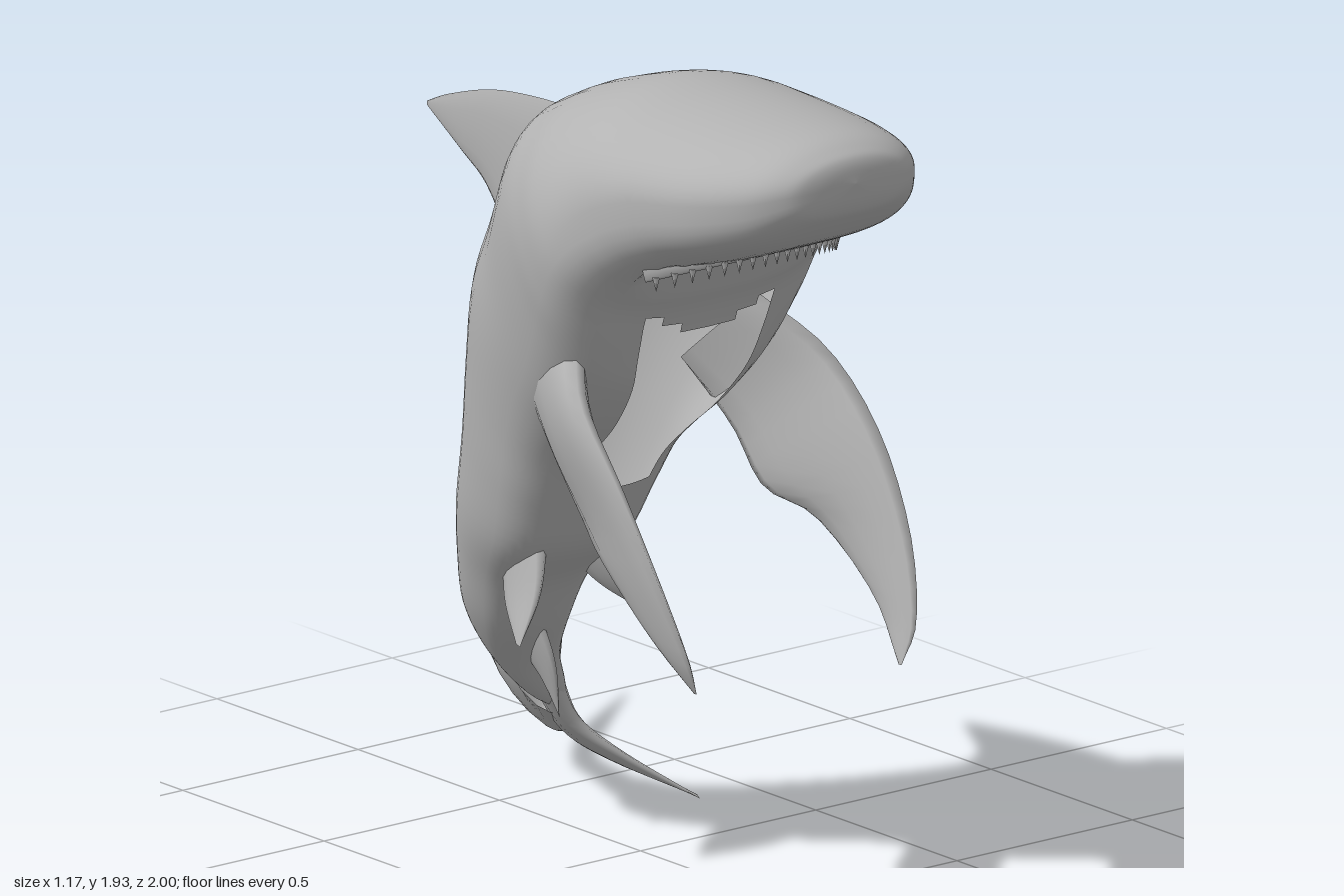
import * as THREE from 'three';

const MID = -0.19; // plane of symmetry of head and trunk
const grey = new THREE.MeshStandardMaterial({ color: 0xb3b3b3, side: THREE.DoubleSide });
grey.name = 'shark grey';

const V = (p) => new THREE.Vector3(...p);
const spline = (pts) => new THREE.CatmullRomCurve3(pts.map(V), false, 'catmullrom', 0.5);

// Skin closed rings of points; skip(i, j) leaves a quad open
function loft(rings, skip = () => false) {
  const n = rings[0].length, pos = [], index = [];
  rings.forEach((r) => r.forEach((p) => pos.push(p.x, p.y, p.z)));
  for (let i = 0; i < rings.length - 1; i++) {
    for (let j = 0; j < n; j++) {
      if (skip(i, j)) continue;
      const a = i * n + j, b = i * n + (j + 1) % n;
      index.push(a, b, a + n, b, b + n, a + n);
    }
  }
  const g = new THREE.BufferGeometry();
  g.setAttribute('position', new THREE.Float32BufferAttribute(pos, 3));
  g.setIndex(index);
  g.computeVertexNormals();
  return g;
}

// Lens-section blade between a leading and a trailing edge, root first
function blade(lead, trail, thick, taper = 0.8) {
  const L = spline(lead), T = spline(trail), steps = 18, sides = 12, rings = [];
  const mid = (t) => L.getPoint(t).add(T.getPoint(t)).multiplyScalar(0.5);
  for (let i = 0; i <= steps; i++) {
    const t = i / steps;
    const half = L.getPoint(t).sub(T.getPoint(t)).multiplyScalar(0.5);
    const span = mid(Math.min(1, t + 0.03)).sub(mid(Math.max(0, t - 0.03)));
    const normal = span.cross(half).normalize().multiplyScalar(thick * Math.pow(1 - t, taper));
    rings.push(Array.from({ length: sides }, (_, j) => {
      const a = j / sides * Math.PI * 2;
      return mid(t).addScaledVector(half, Math.cos(a)).addScaledVector(normal, Math.sin(a));
    }));
  }
  return loft(rings);
}

// Stations: back z, y, belly z, y, half width, centre x
const STATIONS = [
  [1.0, 1.82, 1.0, 1.82, 0, MID],
  [0.99, 1.865, 0.992, 1.765, 0.11, MID],
  [0.965, 1.888, 0.97, 1.73, 0.18, MID],
  [0.9, 1.91, 0.9, 1.67, 0.245, MID],
  [0.75, 1.918, 0.79, 1.62, 0.305, MID],
  [0.55, 1.923, 0.67, 1.575, 0.338, MID],
  [0.37, 1.925, 0.57, 1.52, 0.365, MID],
  [0.2, 1.88, 0.5, 1.43, 0.388, MID],
  [0.08, 1.83, 0.46, 1.32, 0.375, MID],
  [-0.03, 1.76, 0.42, 1.22, 0.345, MID],
  [-0.12, 1.59, 0.34, 1.12, 0.305, MID],
  [-0.21, 1.42, 0.25, 1.04, 0.268, MID],
  [-0.25, 1.22, 0.18, 0.97, 0.24, MID],
  [-0.28, 1.02, 0.12, 0.87, 0.215, MID],
  [-0.33, 0.83, 0.05, 0.75, 0.185, -0.185],
  [-0.37, 0.68, -0.08, 0.64, 0.145, -0.165],
  [-0.41, 0.55, -0.18, 0.5, 0.115, -0.13],
  [-0.43, 0.45, -0.28, 0.38, 0.09, -0.065],
  [-0.47, 0.36, -0.35, 0.27, 0.06, 0.03],
  [-0.48, 0.27, -0.41, 0.21, 0.01, 0.11],
];

function bodyGeometry() {
  const back = spline(STATIONS.map((s) => [0, s[1], s[0]]));
  const belly = spline(STATIONS.map((s) => [0, s[3], s[2]]));
  const width = spline(STATIONS.map((s) => [s[4], s[5], 0]));
  const per = 5, last = (STATIONS.length - 1) * per, sides = 48, rings = [];
  const power = (v, e) => Math.sign(v) * Math.pow(Math.abs(v), e);
  const { lerp, clamp } = THREE.MathUtils;
  for (let i = 0; i <= last; i++) {
    const t = i / last, station = i / per;
    const top = back.getPoint(t), low = belly.getPoint(t), w = width.getPoint(t);
    // the trunk is widest below the middle
    const mid = top.clone().lerp(low, lerp(0.5, 0.62, clamp((station - 5) / 2, 0, 1)));
    const jaw = lerp(0.62, 0.78, clamp(station - 6, 0, 1));
    rings.push(Array.from({ length: sides }, (_, j) => {
      const a = j / sides * Math.PI * 2, c = Math.cos(a), s = Math.sin(a);
      const e = c < 0 ? jaw : 1; // squarer underneath
      const p = mid.clone().lerp(c < 0 ? low : top, Math.pow(Math.abs(c), e));
      const across = Math.max(0, w.x) * power(s, e), k2 = (across / 0.27) ** 2;
      p.x = w.y + across;
      // mouth recess behind the arched lip
      if (c < 0 && k2 < 1) {
        const start = 4.1 + 1.5 * k2;
        p.y += 0.07 * Math.sin(clamp((station - start) / (6.6 - start), 0, 1) * Math.PI) * (1 - k2 * k2);
      }
      return p;
    }));
  }
  // the trunk is open along the belly
  return loft(rings, (i, j) => {
    const d = Math.abs(j + 0.5 - sides / 2);
    return d < 3 && i / per >= 7.5 - 0.15 * d && i / per < 12.6;
  });
}

export function createModel() {
  const model = new THREE.Group();
  model.name = 'shark';
  const add = (name, geometry, parent = model) => {
    const mesh = new THREE.Mesh(geometry, grey);
    mesh.name = name;
    parent.add(mesh);
    return mesh;
  };
  const flip = (pts) => pts.map(([x, y, z]) => [2 * MID - x, y, z]);

  add('body', bodyGeometry());

  // Dorsal fins
  add('dorsalFin', blade(
    [[MID, 1.76, 0.04], [MID, 1.755, -0.13], [MID, 1.735, -0.29], [MID, 1.69, -0.44], [MID, 1.655, -0.52]],
    [[MID, 1.27, -0.25], [MID, 1.41, -0.25], [MID, 1.51, -0.31], [MID, 1.57, -0.4], [MID, 1.645, -0.52]], 0.026));
  add('secondDorsalFin', blade(
    [[-0.17, 0.7, -0.34], [-0.16, 0.66, -0.42], [-0.14, 0.6, -0.465]],
    [[-0.1, 0.45, -0.4], [-0.11, 0.5, -0.43], [-0.14, 0.585, -0.465]], 0.02));

  // Pectoral fins; the right one hangs slightly higher
  const pecLead = [[0.07, 1.36, 0.33], [0.165, 1.24, 0.465], [0.185, 1.08, 0.62], [0.17, 0.88, 0.745], [0.135, 0.7, 0.81], [0.1, 0.6, 0.8]];
  const pecTrail = [[0.02, 1.17, 0.12], [0.05, 1.04, 0.26], [0.06, 0.92, 0.36], [0.115, 0.865, 0.48], [0.13, 0.73, 0.66], [0.1, 0.6, 0.79]];
  const raise = (pts) => flip(pts).map(([x, y, z], i) => [x - 0.004 * i, y + 0.01 * i, z + 0.004 * i]);
  add('leftPectoralFin', blade(pecLead, pecTrail, 0.05));
  add('rightPectoralFin', blade(raise(pecLead), raise(pecTrail), 0.05));

  // Pelvic fins
  const pelLead = [[-0.09, 0.82, 0.02], [-0.05, 0.68, 0.055], [0.0, 0.555, 0.045]];
  const pelTrail = [[-0.11, 0.7, -0.14], [-0.06, 0.62, -0.08], [0.0, 0.56, 0.03]];
  add('leftPelvicFin', blade(pelLead, pelTrail, 0.03));
  add('rightPelvicFin', blade(flip(pelLead), flip(pelTrail), 0.03));

  add('analFin', blade(
    [[-0.14, 0.55, -0.2], [-0.11, 0.42, -0.17], [-0.07, 0.275, -0.2]],
    [[-0.08, 0.42, -0.33], [-0.08, 0.36, -0.25], [-0.07, 0.285, -0.205]], 0.02));

  // Tail lobes
  add('upperTailLobe', blade(
    [[-0.01, 0.37, -0.45], [0.06, 0.32, -0.54], [0.14, 0.28, -0.7], [0.3, 0.235, -0.84], [0.585, 0.205, -1.0]],
    [[0.08, 0.22, -0.38], [0.18, 0.13, -0.48], [0.23, 0.12, -0.62], [0.4, 0.14, -0.79], [0.58, 0.2, -0.99]], 0.04));
  add('lowerTailLobe', blade(
    [[0.01, 0.31, -0.34], [0.09, 0.2, -0.355], [0.2, 0.11, -0.31], [0.355, 0.0, -0.23]],
    [[0.1, 0.3, -0.47], [0.18, 0.15, -0.48], [0.23, 0.085, -0.39], [0.35, 0.01, -0.235]], 0.035));

  // Arched upper lip with a row of teeth
  const arc = (k) => [MID + 0.27 * k, 1.62 - 0.075 * k * k, 0.79 - 0.2 * k * k];
  const ks = [-1, -0.75, -0.5, -0.25, 0, 0.25, 0.5, 0.75, 1];
  add('upperLip', blade(ks.map(arc), ks.map((k) => {
    const [x, y, z] = arc(k);
    return [x, y + 0.08, z - 0.02];
  }), 0.012, 0));
  const teeth = new THREE.Group();
  teeth.name = 'teeth';
  model.add(teeth);
  const tooth = new THREE.ConeGeometry(0.009, 0.035, 5).rotateX(Math.PI);
  for (let i = 0; i < 21; i++) {
    const [x, y, z] = arc(-0.95 + 1.9 * i / 20);
    add('tooth', tooth, teeth).position.set(x, y - 0.01, z);
  }
  return model;
}
